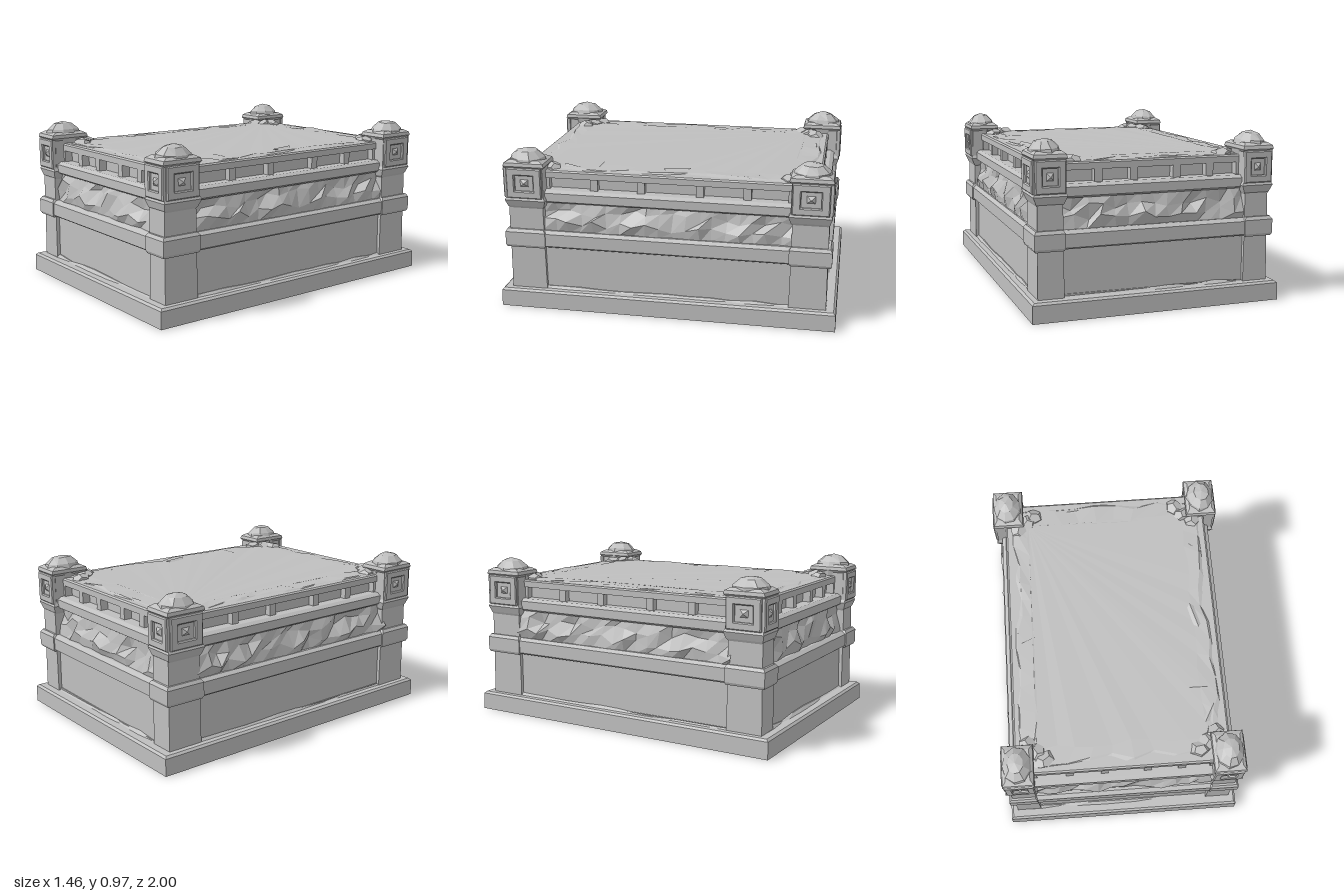
import * as THREE from 'three';

const stone = new THREE.MeshStandardMaterial({ color: 0xbfbfbf, flatShading: true });
stone.name = 'grey stone';

let seed = 7;
const rand = () => (seed = (seed * 16807) % 2147483647) / 2147483647;
const jitter = (a) => (rand() - 0.5) * 2 * a;

function add(parent, geometry, name, x = 0, y = 0, z = 0) {
  const mesh = new THREE.Mesh(geometry, stone);
  mesh.name = name;
  mesh.position.set(x, y, z);
  parent.add(mesh);
  return mesh;
}

// Closed solid from rings of equal length, listed from the bottom up
function loft(rings) {
  const n = rings[0].length;
  const index = [];
  for (let r = 0; r < rings.length - 1; r++) {
    for (let i = 0; i < n; i++) {
      const a = r * n + i, b = r * n + (i + 1) % n;
      index.push(a, a + n, b, b, a + n, b + n);
    }
  }
  const last = (rings.length - 1) * n;
  for (let i = 1; i < n - 1; i++) {
    index.push(0, i, i + 1, last, last + i + 1, last + i);
  }
  const g = new THREE.BufferGeometry();
  g.setAttribute('position', new THREE.Float32BufferAttribute(rings.flat(2), 3));
  g.setIndex(index);
  const flat = g.toNonIndexed();
  flat.computeVertexNormals();
  return flat;
}

// Stack of rectangles: each section is [y, half width, half depth]
const stack = (sections) => loft(sections.map(([y, w, d]) =>
  [[-w, y, -d], [w, y, -d], [w, y, d], [-w, y, d]]));

// Rectangle outline cut into steps, with worn edges
function wornRing(y, w, d, wear, lift) {
  const corners = [[-w, -d], [w, -d], [w, d], [-w, d]];
  const points = [];
  corners.forEach(([x, z], i) => {
    const [x2, z2] = corners[(i + 1) % 4];
    const steps = i % 2 ? 14 : 9;
    for (let s = 0; s < steps; s++) {
      const t = s / steps, k = 1 - rand() * rand() * wear;
      points.push([(x + (x2 - x) * t) * k, y + jitter(lift), (z + (z2 - z) * t) * k]);
    }
  });
  return points;
}

// Rough carved strip: a plane with its inner vertices pushed in and out
function friezeGeometry(half) {
  const columns = Math.round(half * 26);
  const g = new THREE.PlaneGeometry(half * 2, 0.19, columns, 3);
  const p = g.attributes.position;
  const bulge = [-0.005, 0.0, 0.028, 0.02];
  for (let i = 0; i < p.count; i++) {
    const row = Math.floor(i / (columns + 1));
    const inner = row > 0 && row < 3;
    p.setZ(i, bulge[row] + jitter(inner ? 0.026 : 0.008));
    p.setX(i, p.getX(i) + jitter(0.012));
    if (inner) p.setY(i, p.getY(i) + jitter(0.025));
  }
  const flat = g.toNonIndexed();
  flat.computeVertexNormals();
  return flat;
}

// Square frame with a sunken pyramid
function addRosette(parent, x, z, angle, half) {
  const rosette = new THREE.Group();
  rosette.name = 'postRosette';
  rosette.position.set(x, 0.775, z);
  rosette.rotation.y = angle;
  const square = (Type, w, h) => new Type([[-w, -h], [w, -h], [w, h], [-w, h]]
    .map(([a, b]) => new THREE.Vector2(a, b)));
  const shape = square(THREE.Shape, half, 0.085);
  shape.holes.push(square(THREE.Path, half * 0.62, 0.053));
  add(rosette, new THREE.ExtrudeGeometry(shape, {
    depth: 0.02, bevelEnabled: true, bevelSize: 0.006, bevelThickness: 0.006, bevelSegments: 1,
  }), 'rosetteFrame');
  const pyramid = new THREE.ConeGeometry(0.05, 0.03, 4, 1);
  pyramid.rotateY(Math.PI / 4).rotateX(Math.PI / 2);
  add(rosette, pyramid, 'rosettePyramid', 0, 0, 0.012).scale.x = half / 0.085;
  parent.add(rosette);
}

// Corner: pier, band block, bracket, post and domed cap
function addCorner(parent, sx, sz) {
  const corner = new THREE.Group();
  corner.name = `${sz > 0 ? 'front' : 'back'}${sx > 0 ? 'Left' : 'Right'}Corner`;
  add(corner, stack([[0.1, 0.075, 0.108], [0.38, 0.072, 0.105]]), 'lowerPier', sx * 0.61, 0, sz * 0.833);
  add(corner, stack([[0.375, 0.08, 0.115], [0.39, 0.087, 0.122], [0.47, 0.087, 0.122], [0.488, 0.075, 0.11]]),
    'bandBlock', sx * 0.618, 0, sz * 0.84);
  add(corner, stack([[0.46, 0.073, 0.105], [0.68, 0.07, 0.103]]), 'upperPier', sx * 0.61, 0, sz * 0.833);
  add(corner, stack([[0.58, 0.05, 0.07], [0.63, 0.078, 0.11], [0.67, 0.095, 0.122], [0.69, 0.085, 0.112],
    [0.86, 0.082, 0.11], [0.875, 0.094, 0.124], [0.895, 0.09, 0.118], [0.91, 0.07, 0.09]]),
    'post', sx * 0.61, 0, sz * 0.83);
  addRosette(corner, sx * 0.61, sz * 0.932, sz > 0 ? 0 : Math.PI, 0.08);
  addRosette(corner, sx * 0.684, sz * 0.83, sx * Math.PI / 2, 0.1);
  const dome = new THREE.SphereGeometry(1, 9, 6);
  const p = dome.attributes.position;
  for (let i = 0; i < p.count; i++) {
    const x = p.getX(i), y = p.getY(i), z = p.getZ(i);
    const k = 1 + 0.035 * Math.sin(x * 7 + sx) * Math.cos(z * 6 + sz + y * 4);
    p.setXYZ(i, x * k, y * k, z * k);
  }
  dome.scale(0.094, 0.103, 0.12);
  const cap = add(corner, dome, 'domedCap', sx * 0.61, 0.868, sz * 0.83);
  cap.rotation.z = -sx * 0.08;
  // Broken stone where the post meets the slab
  for (let i = 0; i < 3; i++) {
    const chip = add(corner, new THREE.DodecahedronGeometry(0.05), 'cornerRubble',
      sx * (0.55 - i * 0.05), 0.835, sz * (0.7 + i * 0.045));
    chip.scale.set(1.3, 0.75, 1.1);
    chip.rotation.set(jitter(0.3), rand() * 3, jitter(0.3));
  }
  parent.add(corner);
}

// One long or short face: carved frieze and rail bars
function addSide(parent, name, angle, half, distance) {
  const side = new THREE.Group();
  side.name = name;
  side.rotation.y = angle;
  add(side, friezeGeometry(half + 0.02), 'carvedFrieze', 0, 0.568, distance - 0.045);
  for (const t of [-0.6, -0.21, 0.27, 0.65]) {
    add(side, new THREE.BoxGeometry(0.045, 0.09, 0.05), 'railBar', t * half, 0.765, distance - 0.092);
  }
  for (const s of [-1, 1]) {
    add(side, new THREE.BoxGeometry(0.04, 0.09, 0.05), 'railEnd', s * half, 0.765, distance - 0.092);
  }
  parent.add(side);
}

export function createModel() {
  const model = new THREE.Group();
  model.name = 'stonePlatform';

  // Base, recessed panels and middle band
  add(model, stack([[0, 0.73, 1], [0.1, 0.728, 0.998], [0.112, 0.715, 0.985]]), 'plinth');
  add(model, loft([wornRing(0.1, 0.695, 0.955, 0.006, 0), wornRing(0.122, 0.672, 0.928, 0.01, 0.008)]), 'plinthMoulding');
  add(model, stack([[0.1, 0.665, 0.92], [0.39, 0.66, 0.915]]), 'panelBody');
  add(model, stack([[0.38, 0.685, 0.94], [0.39, 0.697, 0.955], [0.465, 0.697, 0.955], [0.482, 0.675, 0.93]]), 'middleBand');
  add(model, stack([[0.47, 0.61, 0.865], [0.67, 0.61, 0.865]]), 'friezeCore');

  // Cornice and railing
  add(model, stack([[0.65, 0.65, 0.9], [0.662, 0.668, 0.92], [0.712, 0.668, 0.92], [0.727, 0.645, 0.895]]), 'cornice');
  add(model, stack([[0.72, 0.585, 0.825], [0.81, 0.585, 0.825]]), 'railRecess');
  add(model, stack([[0.796, 0.632, 0.875], [0.832, 0.632, 0.875], [0.84, 0.622, 0.865]]), 'railTop');

  // Worn top slab
  add(model, loft([wornRing(0.825, 0.615, 0.86, 0.02, 0.003), wornRing(0.846, 0.59, 0.835, 0.12, 0.006),
    wornRing(0.847, 0.5, 0.74, 0.06, 0.002)]), 'topSlab');
  for (const [x, z, size] of [[0.5, -0.04, 0.1], [0.48, 0.42, 0.07], [0.53, 0.58, 0.08], [0.55, -0.5, 0.06],
    [-0.55, -0.32, 0.06], [-0.52, 0.05, 0.055], [-0.5, 0.62, 0.07], [-0.2, -0.81, 0.05]]) {
    const chip = add(model, new THREE.TetrahedronGeometry(size), 'edgeChip', x, 0.838, z);
    chip.scale.y = 0.3;
    chip.rotation.y = rand() * 6;
  }

  addSide(model, 'frontSide', 0, 0.53, 0.94);
  addSide(model, 'backSide', Math.PI, 0.53, 0.94);
  addSide(model, 'leftSide', Math.PI / 2, 0.72, 0.69);
  addSide(model, 'rightSide', -Math.PI / 2, 0.72, 0.69);
  for (const sx of [-1, 1]) for (const sz of [-1, 1]) addCorner(model, sx, sz);
  return model;
}
